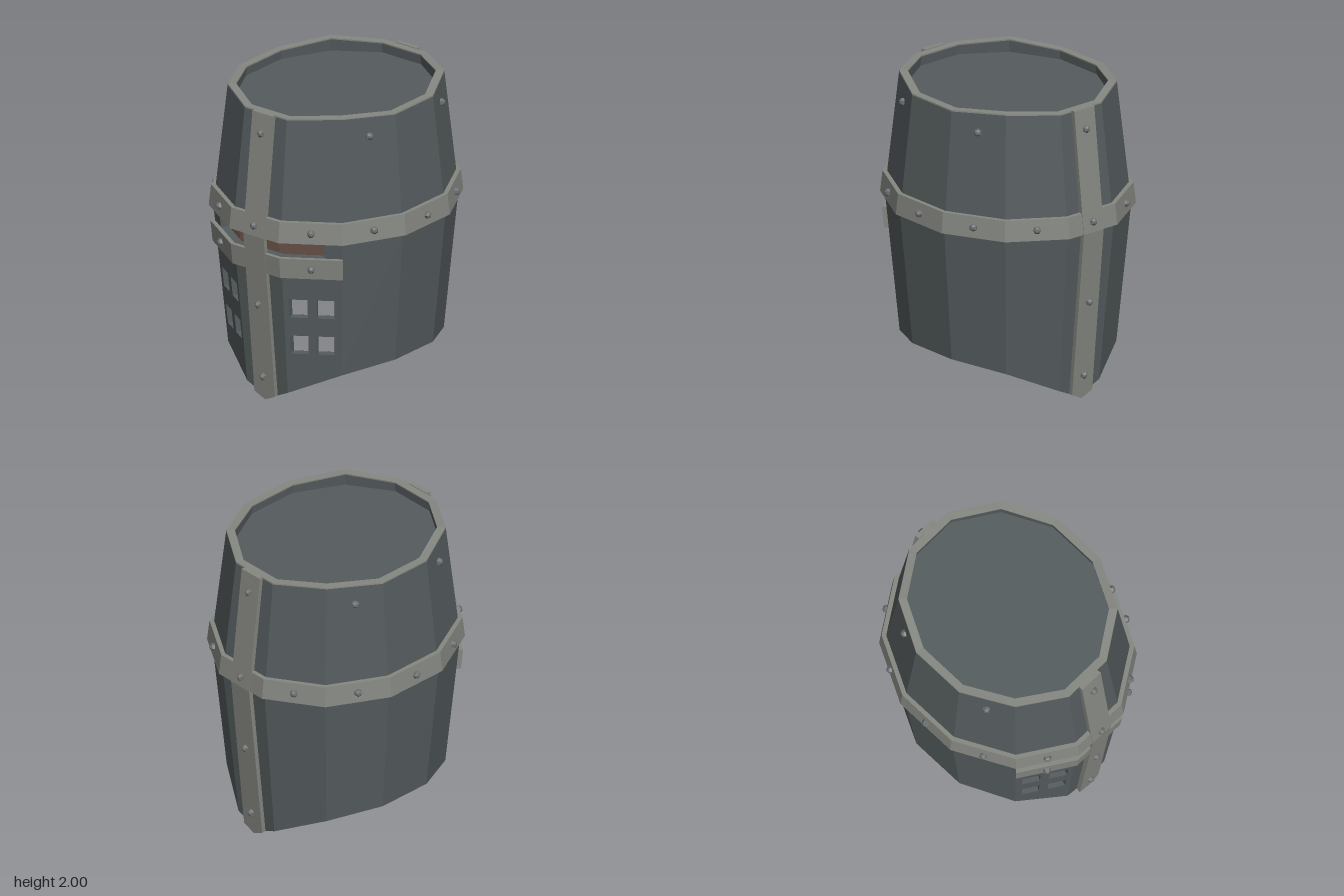
import * as THREE from 'three';
import { mergeGeometries } from 'three/addons/utils/BufferGeometryUtils.js';

const SIDES = 12, STEP = Math.PI * 2 / SIDES, MID = 1.17, WALL = 0.055;
const lerp = THREE.MathUtils.lerp;

// Corner of the twelve-sided barrel; corner k is the start of panel k, panel 0 faces front
function corner(k, y, off) {
  const a = (k - 0.5) * STEP;
  const t = y < MID ? y / MID : (y - MID) / (2 - MID);
  const rx = y < MID ? lerp(0.637, 0.75, t) : lerp(0.75, 0.662, t);
  const rz = y < MID ? lerp(0.715, 0.838, t) : lerp(0.838, 0.74, t);
  return new THREE.Vector3(Math.sin(a) * (rx + off), y, Math.cos(a) * (rz + off));
}
const onPanel = (k, s, y, off) => corner(k, y, off).lerp(corner(k + 1, y, off), s);

// Height of the wavy lower and upper edges at corner k
const cornerStep = (k) => {
  const a = (((k - 0.5) % 6) + 6) % 6;
  return Math.round(Math.min(a, 6 - a) - 0.5);
};
const bottomY = (k) => [0.08, 0.22, 0.27][cornerStep(k)];
const topY = (k) => [1.983, 2.0, 1.977][cornerStep(k)];

const shapeOf = (pts) => new THREE.Shape(pts.map(([s, y]) => new THREE.Vector2(s, y)));
const rect = (s0, y0, s1, y1) => [[s0, y0], [s1, y0], [s1, y1], [s0, y1]];

// Bend a flat shape (s across the panel, y up) onto panel k
function bend(geo, k, inner, outer) {
  const g = geo.index ? geo.toNonIndexed() : geo;
  const p = g.attributes.position;
  for (let i = 0; i < p.count; i++) {
    const v = onPanel(k, p.getX(i), p.getY(i), lerp(inner, outer, p.getZ(i)));
    p.setXYZ(i, v.x, v.y, v.z);
  }
  g.computeVertexNormals();
  return g;
}
const slab = (shape, k, inner, outer) =>
  bend(new THREE.ExtrudeGeometry(shape, { depth: 1, bevelEnabled: false }), k, inner, outer);
const sheet = (shape, k, off) => bend(new THREE.ShapeGeometry(shape), k, off, off);

// Lower panel outline, with the eye slit notch and breathing holes on the front panels
function lowerShape(k) {
  const pts = [[0, bottomY(k)]];
  if (k % 6 === 0) pts.push([0.5, 0]);
  pts.push([1, bottomY(k + 1)]);
  if (k === 0) pts.push([1, 1.06], [0, 1.06]);
  else if (k === 1) pts.push([1, MID], [0.7, MID], [0.7, 1.06], [0, 1.06]);
  else if (k === -1) pts.push([1, 1.06], [0.3, 1.06], [0.3, MID], [0, MID]);
  else pts.push([1, MID], [0, MID]);
  const shape = shapeOf(pts);
  if (Math.abs(k) === 1) {
    for (const [a, b] of [[0.09, 0.41], [0.57, 0.88]])
      for (const y of [0.365, 0.625]) {
        const [s0, s1] = k === 1 ? [a, b] : [1 - b, 1 - a];
        shape.holes.push(new THREE.Path(rect(s0, y, s1, y + 0.13).map(([s, h]) => new THREE.Vector2(s, h))));
      }
  }
  return shape;
}

export function createModel() {
  const group = new THREE.Group();
  const material = (name, color, side = THREE.FrontSide) => {
    const m = new THREE.MeshStandardMaterial({ color, side });
    m.name = name;
    return m;
  };
  const steel = material('dark steel', 0x555c5e);
  const trim = material('light steel', 0x858781);
  const stud = material('rivet steel', 0x6c6f70);
  const leather = material('brown lining', 0x5e483f, THREE.DoubleSide);
  const add = (name, geos, mat) => {
    const mesh = new THREE.Mesh(Array.isArray(geos) ? mergeGeometries(geos) : geos, mat);
    mesh.name = name;
    group.add(mesh);
    return mesh;
  };

  // Barrel walls, lining, top rim and brow band, panel by panel
  const lower = [], upper = [], lining = [], rim = [], band = [];
  for (let k = -5; k <= 6; k++) {
    const low = lowerShape(k), t0 = topY(k), t1 = topY(k + 1);
    lower.push(slab(low, k, -WALL, 0));
    upper.push(slab(shapeOf([[0, MID], [1, MID], [1, t1 - 0.009], [0, t0 - 0.009]]), k, -WALL, 0));
    lining.push(sheet(low, k, -WALL - 0.002));
    lining.push(sheet(shapeOf(rect(0, MID, 1, 1.9)), k, -WALL - 0.002));
    rim.push(slab(shapeOf([[0, t0 - 0.009], [1, t1 - 0.009], [1, t1], [0, t0]]), k, -WALL, 0));
    band.push(slab(shapeOf(rect(0, MID, 1, 1.31)), k, 0, 0.03));
  }
  add('lowerWall', lower, steel);
  add('upperWall', upper, steel);
  add('lining', lining, leather);
  add('topRim', rim, trim);
  add('browBand', band, trim);

  // Recessed top plate with a lined ceiling below it
  const outline = [];
  for (let k = 0; k < SIDES; k++) {
    const c = corner(k, 1.91, -WALL);
    outline.push([c.x, c.z]);
  }
  const plate = new THREE.ShapeGeometry(shapeOf(outline)).rotateX(-Math.PI / 2);
  add('topPlate', plate, steel).position.y = 1.91;
  add('ceiling', plate.clone(), leather).position.y = 1.898;

  // Bar below the eye slit
  add('cheekBar', [-1, 0, 1].map((k) => slab(shapeOf(rect(0, 0.92, 1, 1.06)), k, 0, 0.03)), trim);

  // Upright straps on the front and back
  for (const [name, k] of [['frontStrap', 0], ['backStrap', 6]]) {
    const b = 0.242, m = 0.206, t = 0.234;
    add(name, [
      slab(shapeOf([[0.5 - b, 0.04], [0.5, 0], [0.5 + b, 0.04], [0.5 + m, MID], [0.5 - m, MID]]), k, 0, 0.034),
      slab(shapeOf([[0.5 - m, MID], [0.5 + m, MID], [0.5 + t, 1.988], [0.5 - t, 1.988]]), k, 0, 0.034),
    ], trim);
  }

  // Rivets, each centred on its panel
  const rivets = [];
  const rivet = (k, y, off) => {
    const pos = onPanel(k, 0.5, y, off);
    const edge = corner(k + 1, y, off).sub(corner(k, y, off));
    const rise = onPanel(k, 0.5, y + 0.01, off).sub(pos);
    const normal = edge.cross(rise).normalize();
    const g = mergeGeometries([
      new THREE.CylinderGeometry(0.024, 0.027, 0.018, 6).translate(0, 0.007, 0),
      new THREE.CylinderGeometry(0.011, 0.024, 0.012, 6).translate(0, 0.022, 0),
    ]).toNonIndexed();
    g.applyQuaternion(new THREE.Quaternion().setFromUnitVectors(new THREE.Vector3(0, 1, 0), normal));
    g.translate(pos.x, pos.y, pos.z);
    g.computeVertexNormals();
    rivets.push(g);
  };
  for (let k = -5; k <= 6; k++) rivet(k, 1.24, k % 6 ? 0.03 : 0.034);
  for (const k of [0, 6]) for (const y of [0.165, 0.68, 1.855]) rivet(k, y, 0.034);
  for (const k of [-4, -2, 2, 4]) rivet(k, 1.855, 0);
  for (const k of [-1, 1]) rivet(k, 0.99, 0.03);
  add('rivets', rivets, stud);

  return group;
}
